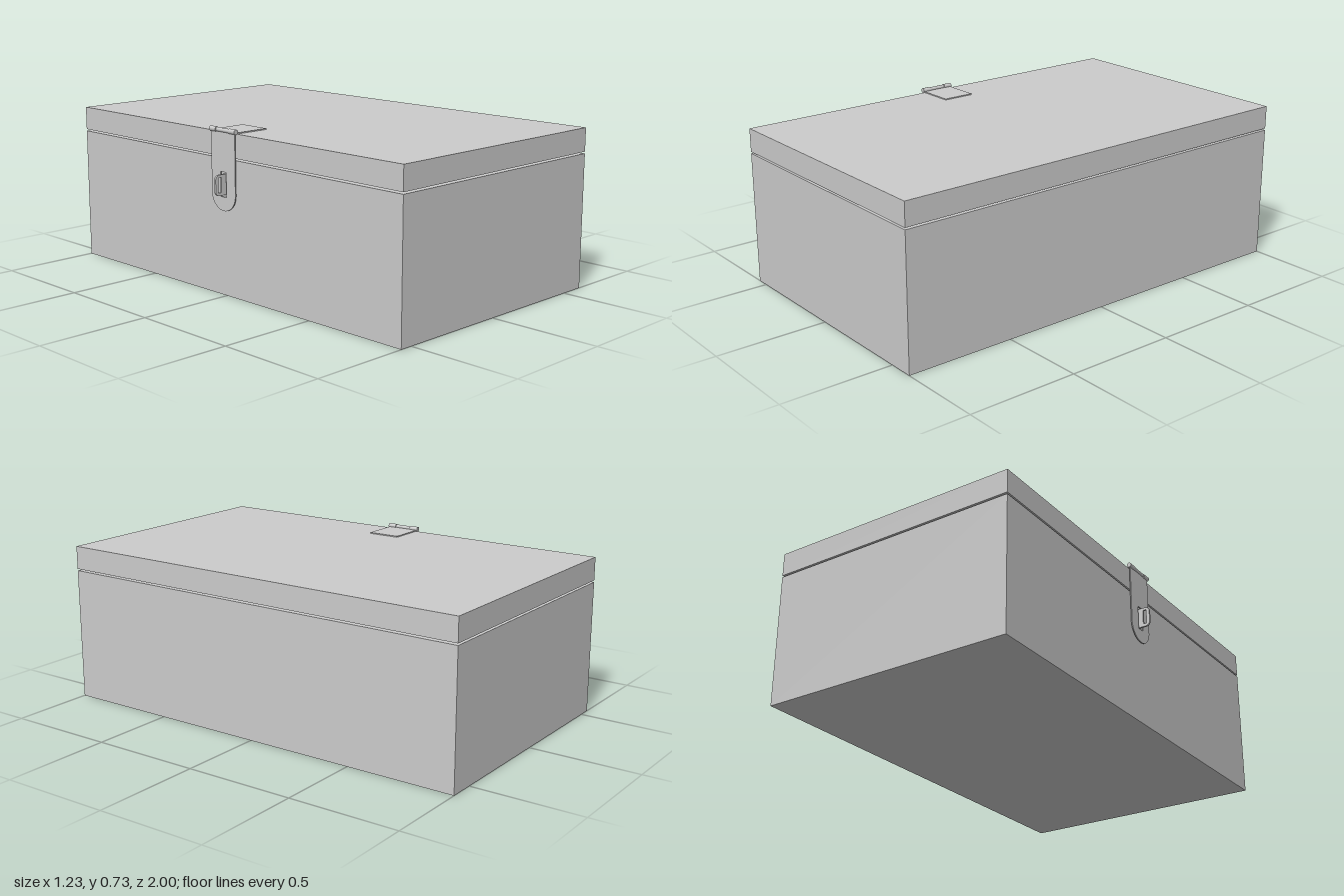
import * as THREE from 'three';

const X0 = -0.557, X1 = 0.615; // body side walls
const grey = new THREE.MeshStandardMaterial({ color: 0xcccccc });

function add(parent, name, geometry, x = 0, y = 0, z = 0) {
  const mesh = new THREE.Mesh(geometry, grey);
  mesh.name = name;
  mesh.position.set(x, y, z);
  parent.add(mesh);
  return mesh;
}

// Block spanning the body footprint between two heights
function block(parent, name, y0, y1) {
  add(parent, name, new THREE.BoxGeometry(X1 - X0, y1 - y0, 2), (X0 + X1) / 2, (y0 + y1) / 2, 0);
}

function rectHole(x0, x1, y0, y1) {
  return new THREE.Path([[x0, y0], [x0, y1], [x1, y1], [x1, y0]].map(p => new THREE.Vector2(...p)));
}

function plate(shape, depth) {
  const g = new THREE.ExtrudeGeometry(shape, { depth, bevelEnabled: false, curveSegments: 12 });
  return g.translate(0, 0, -depth / 2);
}

export function createModel() {
  const model = new THREE.Group();
  block(model, 'base', 0, 0.6);
  block(model, 'lid', 0.608, 0.713);

  const hasp = new THREE.Group();
  hasp.name = 'hasp';
  model.add(hasp);

  // Fixed leaf lying on the lid
  add(hasp, 'lidLeaf', new THREE.BoxGeometry(0.17, 0.005, 0.15), -0.475, 0.7155, 0);

  // Hinge pin with three knuckles
  const barrel = (name, r, len, z) =>
    add(hasp, name, new THREE.CylinderGeometry(r, r, len, 16).rotateX(Math.PI / 2), -0.565, 0.722, z);
  barrel('hingePin', 0.007, 0.158, 0);
  for (const z of [-0.06, 0, 0.06]) barrel('hingeKnuckle', z ? 0.011 : 0.009, z ? 0.04 : 0.076, z);

  // Hanging strap with a rounded end and a slot for the staple
  const w = 0.075, bottom = 0.375;
  const strap = new THREE.Shape();
  strap.moveTo(w, 0.72);
  strap.lineTo(-w, 0.72);
  strap.lineTo(-w, bottom + w);
  strap.absarc(0, bottom + w, w, Math.PI, Math.PI * 2, false);
  strap.lineTo(w, 0.72);
  strap.holes.push(rectHole(-0.018, 0.018, 0.436, 0.544));
  add(hasp, 'strap', plate(strap, 0.005).rotateY(-Math.PI / 2), -0.566, 0, 0);

  // Staple tab passing through the strap, with an opening for a padlock
  const r = 0.02, xl = -0.615, y0 = 0.445, y1 = 0.535;
  const staple = new THREE.Shape();
  staple.moveTo(X0, y0);
  staple.lineTo(X0, y1);
  staple.lineTo(xl + r, y1);
  staple.absarc(xl + r, y1 - r, r, Math.PI / 2, Math.PI, false);
  staple.lineTo(xl, y0 + r);
  staple.absarc(xl + r, y0 + r, r, Math.PI, Math.PI * 1.5, false);
  staple.holes.push(rectHole(-0.6, -0.584, 0.458, 0.524));
  add(model, 'staple', plate(staple, 0.009));

  return model;
}
